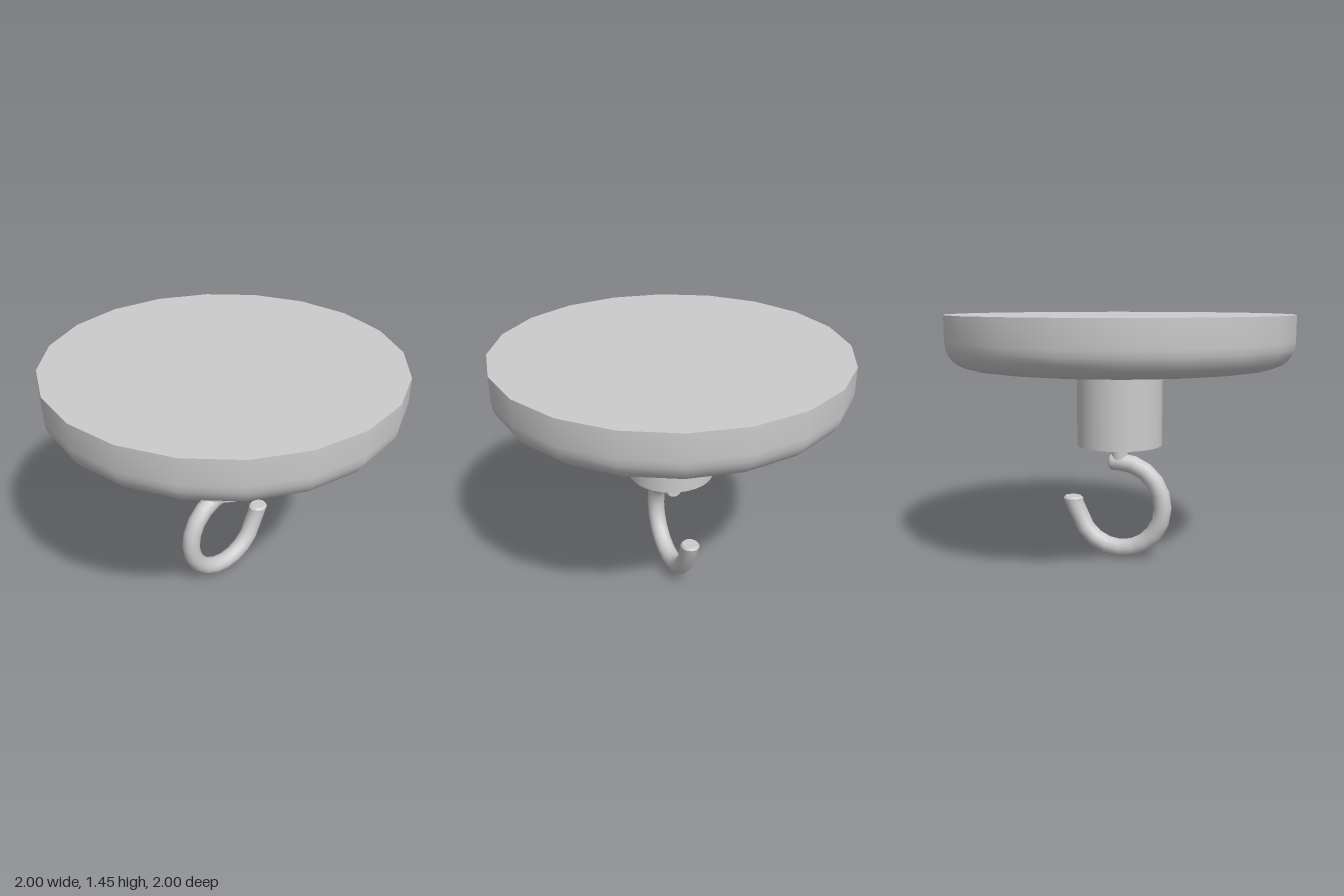
import * as THREE from 'three';
import { toCreasedNormals } from 'three/addons/utils/BufferGeometryUtils.js';

const material = new THREE.MeshStandardMaterial({ color: 0xcccccc });

function addPart(group, name, geometry, y = 0) {
  const mesh = new THREE.Mesh(geometry, material);
  mesh.name = name;
  mesh.position.y = y;
  group.add(mesh);
}

// Round wire swept through rings lying across the yz plane.
// Each ring: centre z, y; in-plane half-width direction nz, ny; scale s.
function sweepWire(rings, radius, sides) {
  const positions = [];
  const indices = [];
  for (const { z, y, nz, ny, s } of rings) {
    for (let j = 0; j < sides; j++) {
      const a = (j / sides) * Math.PI * 2;
      const w = radius * s * Math.sin(a);
      positions.push(radius * s * Math.cos(a), y + ny * w, z + nz * w);
    }
  }
  for (let i = 0; i < rings.length - 1; i++) {
    for (let j = 0; j < sides; j++) {
      const k = (j + 1) % sides;
      const a = i * sides + j, b = i * sides + k;
      const c = a + sides, d = b + sides;
      if (rings[i].s > 0) indices.push(a, b, c);
      if (rings[i + 1].s > 0) indices.push(b, d, c);
    }
  }
  const geometry = new THREE.BufferGeometry();
  geometry.setAttribute('position', new THREE.Float32BufferAttribute(positions, 3));
  geometry.setIndex(indices);
  return toCreasedNormals(geometry, 0.75);
}

function hookGeometry() {
  const R = 0.265, cy = 0.325, r = 0.053;
  const rings = [];
  // Softened blunt end beside the stem
  for (const [z, s] of [[-0.056, 0], [-0.056, 0.82], [-0.045, 1]]) {
    rings.push({ z, y: cy + R, nz: 0, ny: 1, s });
  }
  // Open ring in 18 degree steps: top, front, bottom, back
  for (let i = 10; i >= -3; i--) {
    const t = (i * Math.PI) / 10;
    const nz = Math.sin(t), ny = -Math.cos(t);
    rings.push({ z: R * nz, y: cy + R * ny, nz, ny, s: 1 });
  }
  // Straight tip, cut level with a softened edge
  for (const [z, y, s] of [[-0.293, 0.335, 1], [-0.295, 0.35, 1.04], [-0.297, 0.362, 0.85], [-0.297, 0.362, 0]]) {
    rings.push({ z, y, nz: -1.1, ny: 0, s });
  }
  return sweepWire(rings, r, 16);
}

export function createModel() {
  const group = new THREE.Group();
  group.name = 'ceilingHook';

  // Twenty-sided base disc with a rounded lower rim
  const bottom = 1.16, top = 1.455, fillet = 0.15;
  const profile = [new THREE.Vector2(0, bottom)];
  for (let i = 0; i <= 6; i++) {
    const a = (i / 6) * Math.PI / 2;
    profile.push(new THREE.Vector2(
      1 - fillet + fillet * Math.sin(a),
      bottom + fillet - fillet * Math.cos(a)));
  }
  profile.push(new THREE.Vector2(1, top), new THREE.Vector2(0, top));
  addPart(group, 'baseDisc', toCreasedNormals(new THREE.LatheGeometry(profile, 20), 0.75));

  // Collar and thin stem
  addPart(group, 'collar', new THREE.CylinderGeometry(0.25, 0.25, 0.465, 32), 0.9275);
  addPart(group, 'stem', new THREE.CylinderGeometry(0.05, 0.05, 0.11, 20), 0.645);

  addPart(group, 'hook', hookGeometry());
  return group;
}
